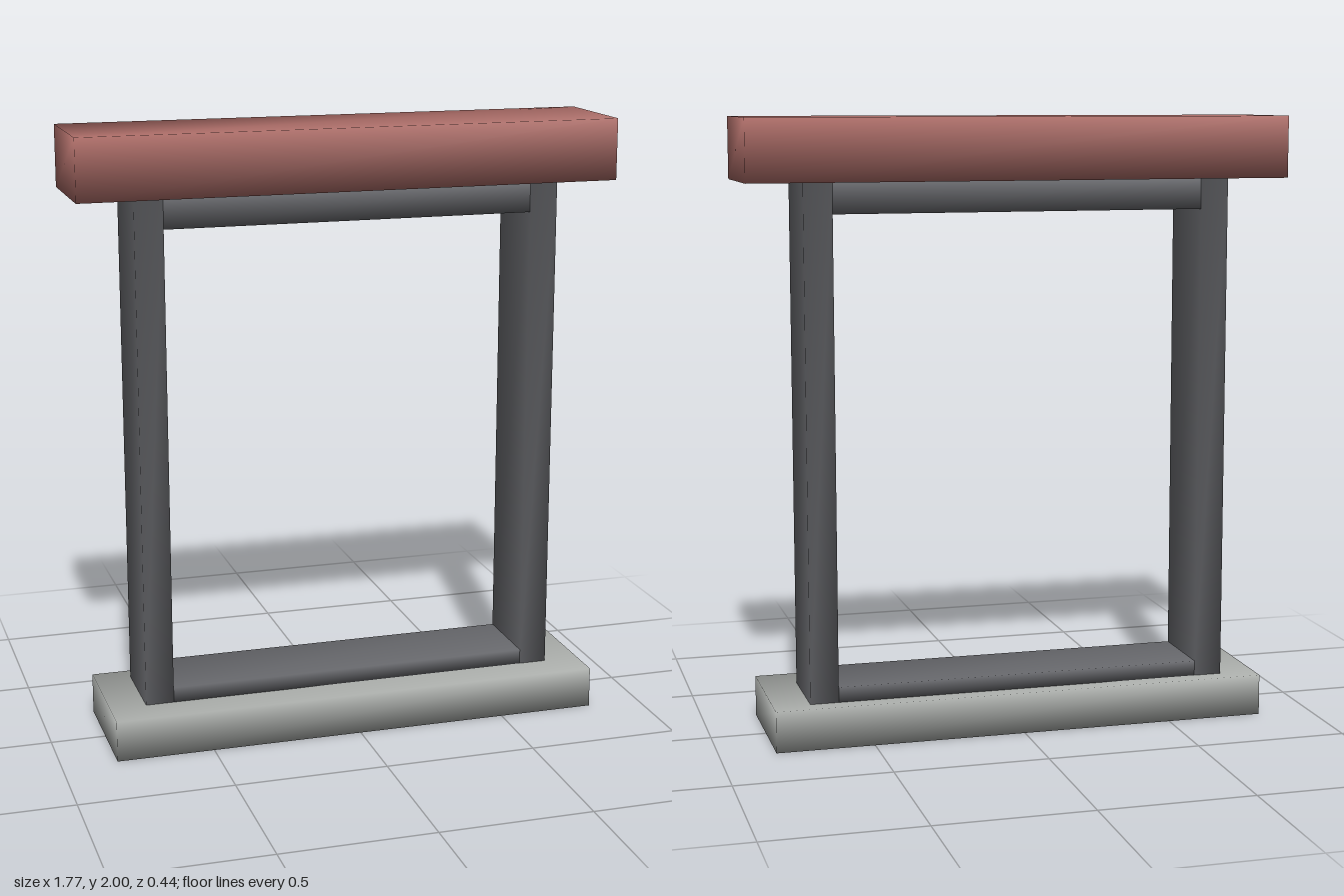
import * as THREE from 'three';
import { mergeVertices } from 'three/addons/utils/BufferGeometryUtils.js';

const material = (color) => new THREE.MeshStandardMaterial({ color });

// Block given by its min and max corners, softly shaded by sharing its eight corners
function block(name, min, max, mat) {
  const size = max.map((v, i) => v - min[i]);
  let geometry = new THREE.BoxGeometry(...size);
  geometry.deleteAttribute('normal');
  geometry.deleteAttribute('uv');
  geometry = mergeVertices(geometry);
  geometry.computeVertexNormals();
  const mesh = new THREE.Mesh(geometry, mat);
  mesh.name = name;
  mesh.position.set(...min.map((v, i) => v + size[i] / 2));
  return mesh;
}

export function createModel() {
  const model = new THREE.Group();
  model.name = 'windowFrame';
  const red = material(0xa86a65);
  const dark = material(0x66676b);
  const stone = material(0xa8aba8);

  const inner = 0.607, outer = 0.7;      // post faces in x
  const back = -0.165, front = 0.1;      // frame depth
  const sillTop = 0.135, lintelBottom = 1.8;

  // Sill and lintel
  model.add(block('sill', [-0.82, 0, -0.22], [0.82, sillTop, 0.215], stone));
  model.add(block('lintel', [-0.886, lintelBottom, -0.22], [0.886, 2, 0.15], red));

  // Side posts
  model.add(block('leftPost', [inner, sillTop, back], [outer, lintelBottom, front], dark));
  model.add(block('rightPost', [-outer, sillTop, back], [-inner, lintelBottom, front], dark));

  // Rails between the posts
  model.add(block('topRail', [-inner, 1.7, back], [inner, lintelBottom, front], dark));
  model.add(block('bottomRail', [-inner, sillTop, back], [inner, 0.185, front], dark));

  return model;
}
